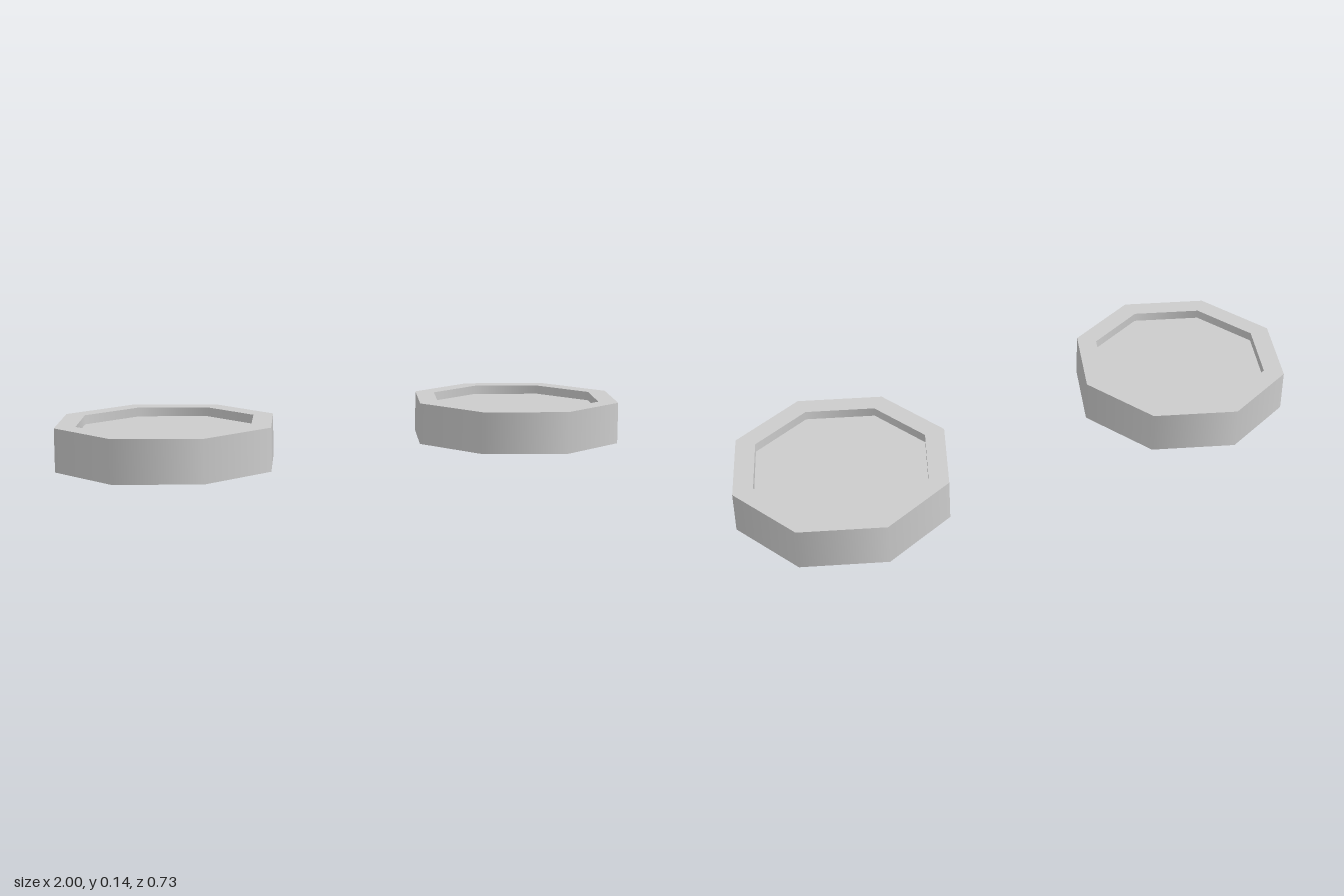
import * as THREE from 'three';

const SIDES = 8;
const OUTER = 0.366;
const INNER = 0.297;
const HEIGHT = 0.14;
const FLOOR = 0.11;

export function createModel() {
  const model = new THREE.Group();
  model.name = 'discPair';
  const grey = new THREE.MeshStandardMaterial({ color: 0xcccccc, side: THREE.DoubleSide });
  grey.name = 'grey';

  // Open-ended octagonal wall between two heights
  const wall = (radius, y0, y1) =>
    new THREE.CylinderGeometry(radius, radius, y1 - y0, SIDES, 1, true).translate(0, (y0 + y1) / 2, 0);

  // Flat octagon laid level at a height
  const level = (geometry, y) => geometry.rotateX(-Math.PI / 2).translate(0, y, 0);

  const parts = {
    outerWall: wall(OUTER, 0, HEIGHT),
    topRim: level(new THREE.RingGeometry(INNER, OUTER, SIDES), HEIGHT),
    recessWall: wall(INNER, FLOOR, HEIGHT),
    recessFloor: level(new THREE.CircleGeometry(INNER, SIDES), FLOOR),
  };

  // Two matching discs, hollow underneath
  for (const [name, side] of [['leftDisc', 1], ['rightDisc', -1]]) {
    const disc = new THREE.Group();
    disc.name = name;
    for (const [partName, geometry] of Object.entries(parts)) {
      const mesh = new THREE.Mesh(geometry, grey);
      mesh.name = partName;
      disc.add(mesh);
    }
    disc.position.x = side * (1 - OUTER);
    model.add(disc);
  }
  return model;
}
